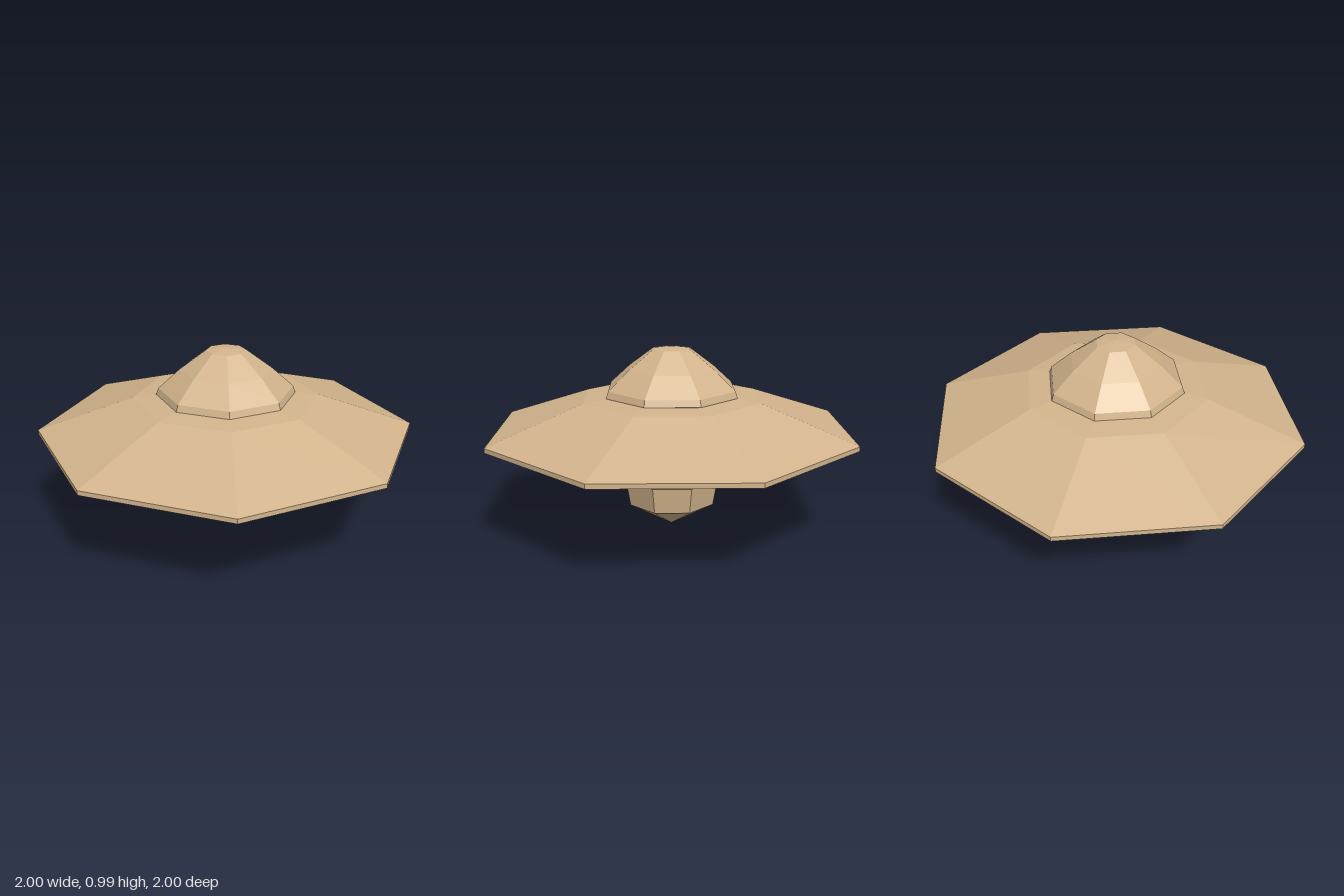
import * as THREE from 'three';

export function createModel() {
  const group = new THREE.Group();
  const tan = new THREE.MeshStandardMaterial({ color: 0xd2b48c });
  tan.name = 'tan';

  // Eight-sided faceted ring from a bottom-to-top profile of [radius, height]
  function part(name, profile) {
    const points = profile.map(([r, y]) => new THREE.Vector2(r, y));
    const geometry = new THREE.LatheGeometry(points, 8).toNonIndexed();
    geometry.computeVertexNormals();
    const mesh = new THREE.Mesh(geometry, tan);
    mesh.name = name;
    group.add(mesh);
  }

  // Pointed tip under the neck
  part('bottomTip', [[0, 0], [0.24, 0.14]]);
  // Tapered neck with a flared collar
  part('neck', [[0.24, 0.14], [0.265, 0.28], [0.295, 0.307]]);
  // Saucer underside
  part('lowerHull', [[0.295, 0.307], [1, 0.522]]);
  // Thin outer edge
  part('rim', [[1, 0.522], [1, 0.546]]);
  // Saucer top with its shallow deck around the dome
  part('upperHull', [[1, 0.546], [0.49, 0.722], [0.36, 0.735]]);
  // Faceted dome with a steep lip at the base
  part('dome', [[0.36, 0.735], [0.367, 0.737], [0.355, 0.772], [0.243, 0.873], [0.105, 0.975], [0, 0.988]]);

  return group;
}
